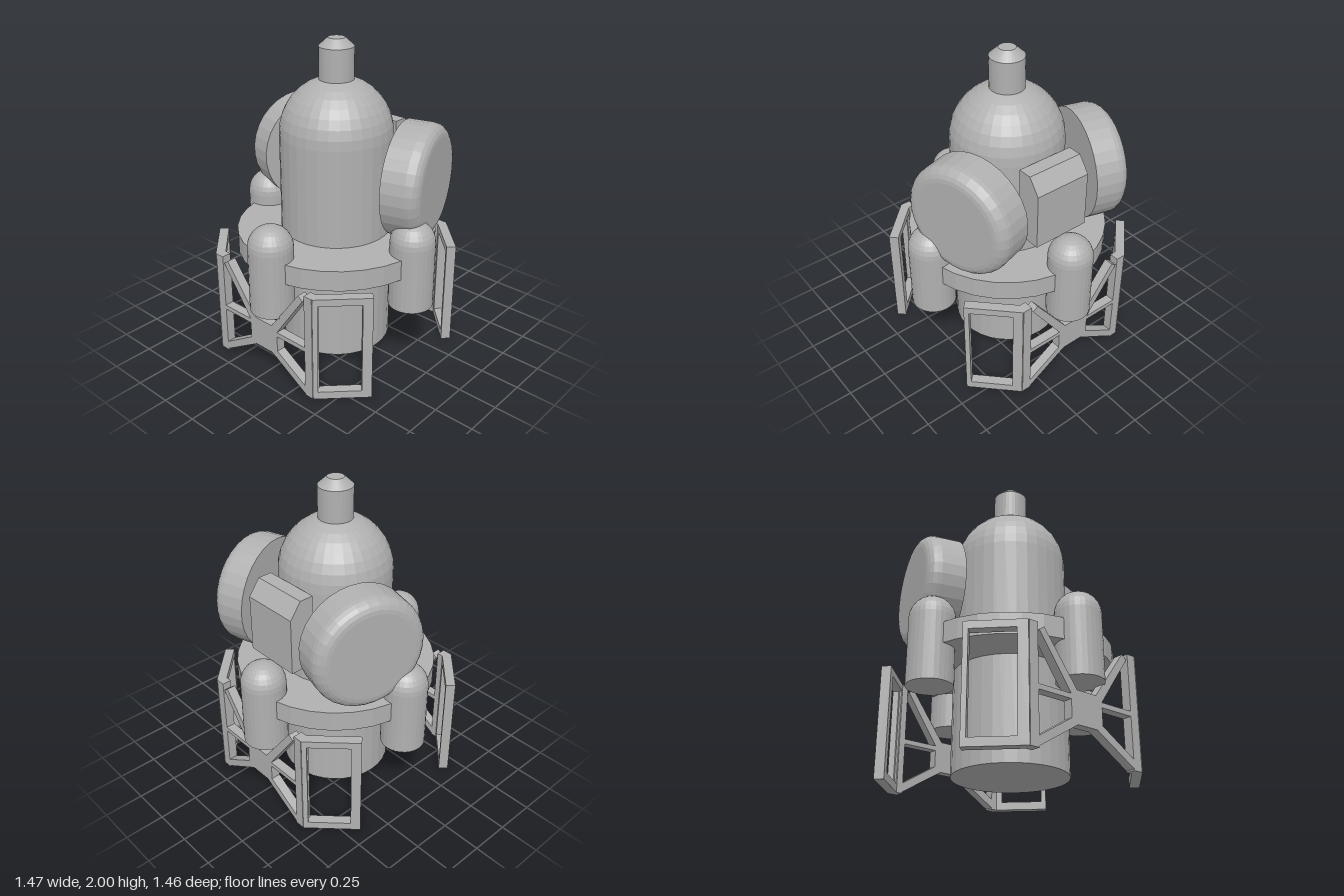
import * as THREE from 'three';

const grey = new THREE.MeshStandardMaterial({ color: 0xb0b0b0, flatShading: true });
grey.name = 'lightGrey';

function add(parent, name, geometry, x = 0, y = 0, z = 0) {
  const mesh = new THREE.Mesh(geometry, grey);
  mesh.name = name;
  mesh.position.set(x, y, z);
  parent.add(mesh);
  return mesh;
}

// Turned solid from [radius, height] pairs, bottom to top
const lathe = (pairs, sides = 32) =>
  new THREE.LatheGeometry(pairs.map(([r, y]) => new THREE.Vector2(r, y)), sides);

// Quarter-round profile from (r0 + a, y0) to (r0, y0 + b)
function quarter(r0, y0, a, b, steps) {
  return Array.from({ length: steps + 1 }, (_, i) => {
    const t = (i / steps) * Math.PI / 2;
    return [i === steps ? r0 : r0 + a * Math.cos(t), y0 + b * Math.sin(t)];
  });
}

const extrude = (shape, depth) => new THREE.ExtrudeGeometry(shape, { depth, bevelEnabled: false });
const polygon = (pairs) => new THREE.Shape(pairs.map(([x, y]) => new THREE.Vector2(x, y)));

// Landing frame: crossed truss between two posts, with a folded wing frame at each side
function makeLandingFrame() {
  const frame = new THREE.Group();
  frame.name = 'landingFrame';
  const depth = 0.06, face = 0.657, height = 0.69;

  const half = [
    [0.07, 0.37], [0.3, 0.675], [0.335, 0.65], [0.115, 0.34], [0.36, 0.34], [0.36, 0.31],
    [0.115, 0.31], [0.115, 0.205], [0.36, 0.055], [0.36, 0], [0.07, 0.175],
  ];
  const mirrored = half.map(([x, y]) => [-x, y]).reverse();
  add(frame, 'crossTruss', extrude(polygon([...half, ...mirrored]), depth), 0, 0, face - depth);

  const length = 0.35;
  const wing = polygon([[0, 0], [length, 0], [length, height], [0, height]]);
  wing.holes.push(polygon([[0.03, 0.05], [0.03, 0.645], [length - 0.06, 0.645], [length - 0.06, 0.05]]));

  for (const side of [-1, 1]) {
    add(frame, 'framePost', new THREE.BoxGeometry(0.06, height, depth),
      side * 0.375, height / 2, face - depth / 2);
    const geometry = extrude(wing, depth);
    if (side > 0) geometry.translate(0, 0, -depth);
    else geometry.translate(-length, 0, -depth);
    add(frame, 'wingFrame', geometry, side * 0.41, 0, face).rotation.y = side * Math.PI / 4;
  }
  return frame;
}

export function createModel() {
  const model = new THREE.Group();
  model.name = 'lander';

  // Central hull with domed top
  add(model, 'hull', lathe([[0, 0.03], [0.35, 0.03], ...quarter(0, 1.42, 0.35, 0.35, 9)]));

  // Docking neck with a tapered tip
  add(model, 'neck', lathe([[0, 1.7], [0.107, 1.7], [0.107, 1.95], [0.052, 2], [0, 2]]));

  // Platform around the hull
  add(model, 'platform', new THREE.CylinderGeometry(0.63, 0.63, 0.13, 32), 0, 0.735, 0);

  // Four domed tanks on the rim
  const tank = lathe([[0, 0.45], [0.138, 0.45], ...quarter(0, 0.866, 0.138, 0.138, 7)], 28);
  for (const [x, z] of [[0.01, 0.593], [-0.01, -0.595], [0.595, -0.012], [-0.597, 0.012]]) {
    add(model, 'tank', tank, x, 0, z);
  }

  // Round side pods, flat inside and rounded outside, toed in toward the back
  const pod = lathe([[0, 0], [0.357, 0], ...quarter(0.277, 0.15, 0.08, 0.08, 5), [0, 0.23]]);
  for (const side of [-1, 1]) {
    const mesh = add(model, 'sidePod', pod, side * 0.365, 1.167, -0.185);
    const outward = new THREE.Vector3(side * 0.959, 0, -0.282).normalize();
    mesh.quaternion.setFromUnitVectors(new THREE.Vector3(0, 1, 0), outward);
  }

  // Equipment box behind the hull, with a sloped upper edge
  const box = extrude(polygon([
    [0.35, 0.975], [0.515, 0.975], [0.515, 1.335], [0.44, 1.435], [0.35, 1.435],
  ]), 0.374);
  box.translate(0, 0, -0.187);
  add(model, 'equipmentBox', box).rotation.y = Math.PI / 2;

  // Landing frames at front and back
  for (const turn of [0, Math.PI]) {
    const frame = makeLandingFrame();
    frame.rotation.y = turn;
    frame.position.x = -0.01;
    model.add(frame);
  }

  return model;
}
